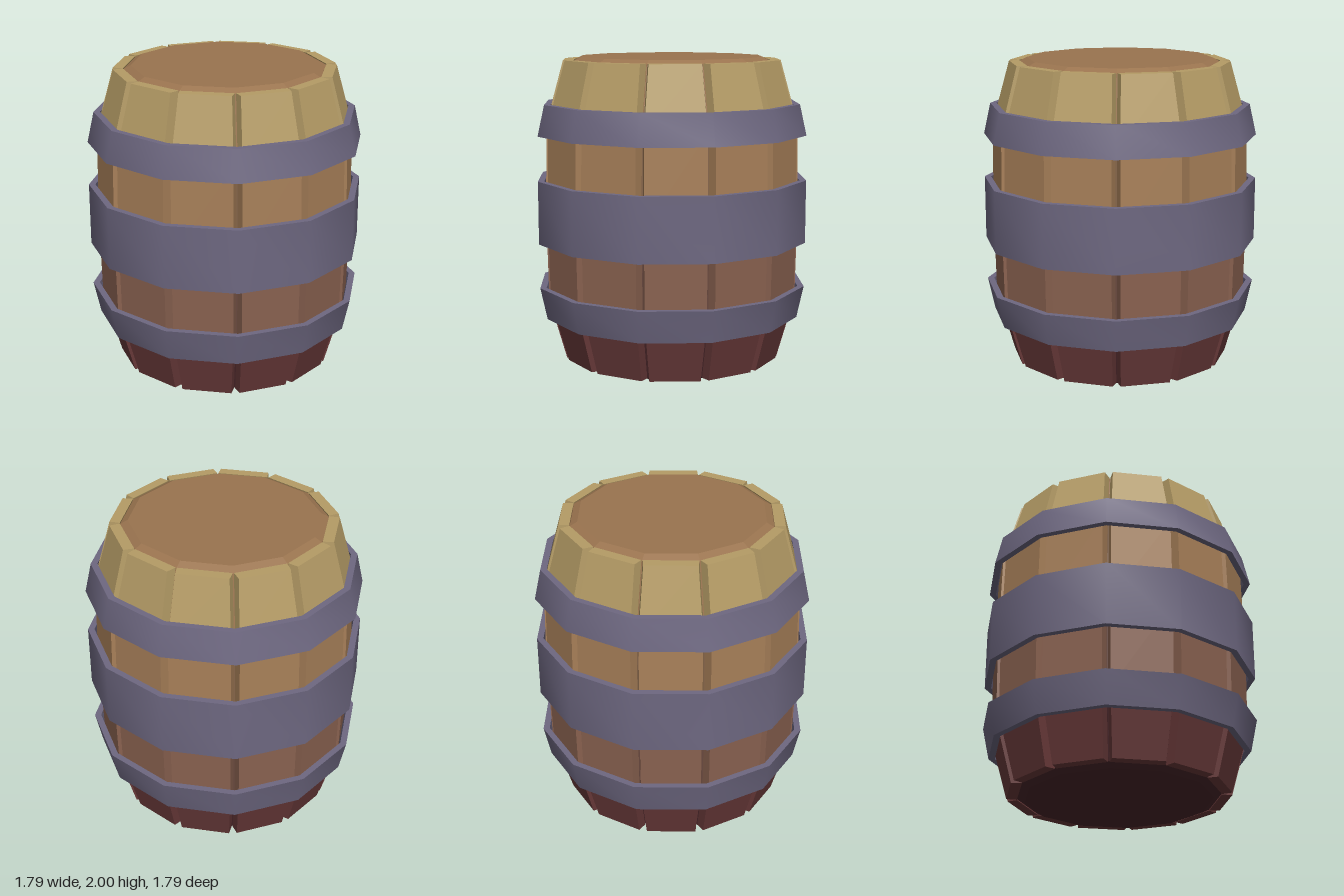
import * as THREE from 'three';
import { toCreasedNormals } from 'three/addons/utils/BufferGeometryUtils.js';

const SIDES = 12;
const HALF = Math.PI / SIDES;

const flat = (color) => new THREE.MeshStandardMaterial({ color, flatShading: true });
const lathe = (points) =>
  new THREE.LatheGeometry(points.map(([r, y]) => new THREE.Vector2(r, y)), SIDES);

// One bulging plank: a wedge-sided section lofted through [radius, height] rows,
// with one material group per band between rows
function staveGeometry(rows, thickness) {
  const positions = [];
  const index = [];
  const geometry = new THREE.BufferGeometry();
  for (const [r, y] of rows) {
    const inner = r - thickness;
    const wo = r * Math.sin(HALF) - 0.027, zo = r * Math.cos(HALF);
    const wi = inner * Math.sin(HALF) - 0.004, zi = inner * Math.cos(HALF);
    positions.push(wo, y, zo, wi, y, zi, -wi, y, zi, -wo, y, zo);
  }
  const last = rows.length - 1;
  for (let i = 0; i < last; i++) {
    const start = index.length;
    if (i === 0) index.push(0, 2, 1, 0, 3, 2);
    for (let k = 0; k < 4; k++) {
      const a = i * 4 + k, b = i * 4 + (k + 1) % 4;
      index.push(a, b, b + 4, a, b + 4, a + 4);
    }
    if (i === last - 1) {
      const t = last * 4;
      index.push(t, t + 1, t + 2, t, t + 2, t + 3);
    }
    geometry.addGroup(start, index.length - start, i);
  }
  geometry.setAttribute('position', new THREE.Float32BufferAttribute(positions, 3));
  geometry.setIndex(index);
  const result = geometry.toNonIndexed();
  geometry.groups.forEach((g) => result.addGroup(g.start, g.count, g.materialIndex));
  result.computeVertexNormals();
  return result;
}

export function createModel() {
  const barrel = new THREE.Group();
  barrel.name = 'barrel';

  // Staves, shading from dark red at the foot to straw at the rim
  const staves = new THREE.Group();
  staves.name = 'staves';
  const rows = [[0.72, 0.02], [0.833, 0.42], [0.845, 1], [0.833, 1.58], [0.72, 1.98]];
  const staveMaterials = [0x6a3a3a, 0x8a6250, 0xa88059, 0xb59c66].map(flat);
  const plank = staveGeometry(rows, 0.07);
  for (let i = 0; i < SIDES; i++) {
    const stave = new THREE.Mesh(plank, staveMaterials);
    stave.name = 'stave';
    stave.rotation.y = (2 * i + 1) * HALF;
    staves.add(stave);
  }
  barrel.add(staves);

  // Inner shell seen in the grooves, closed by bevelled heads at both ends
  const core = new THREE.Group();
  core.name = 'innerBarrel';
  const coreBands = [
    ['bottomHead', 0x4a262a, [[0, 0], [0.6, 0], [0.648, 0.025], [0.76, 0.42]]],
    ['lowerShell', 0x6b4a40, [[0.76, 0.42], [0.775, 1]]],
    ['upperShell', 0x86654a, [[0.775, 1], [0.76, 1.58]]],
    ['topHead', 0x9a744f, [[0.76, 1.58], [0.648, 1.975], [0.6, 2], [0, 2]]],
  ];
  for (const [name, color, points] of coreBands) {
    const mesh = new THREE.Mesh(lathe(points), flat(color));
    mesh.name = name;
    core.add(mesh);
  }
  barrel.add(core);

  // Metal hoops: smooth around, sharp at the rims
  const metal = new THREE.MeshStandardMaterial({ color: 0x6e6881 });
  const hoops = [
    ['lowerHoop', 0.845, 0.3, 0.89, 0.51],
    ['middleHoop', 0.893, 0.8, 0.893, 1.21],
    ['upperHoop', 0.89, 1.5, 0.845, 1.7],
  ];
  for (const [name, r0, y0, r1, y1] of hoops) {
    const t = 0.042;
    const ring = lathe([[r0, y0], [r1, y1], [r1 - t, y1], [r0 - t, y0], [r0, y0]]);
    const hoop = new THREE.Mesh(toCreasedNormals(ring, 0.65), metal);
    hoop.name = name;
    barrel.add(hoop);
  }

  return barrel;
}
